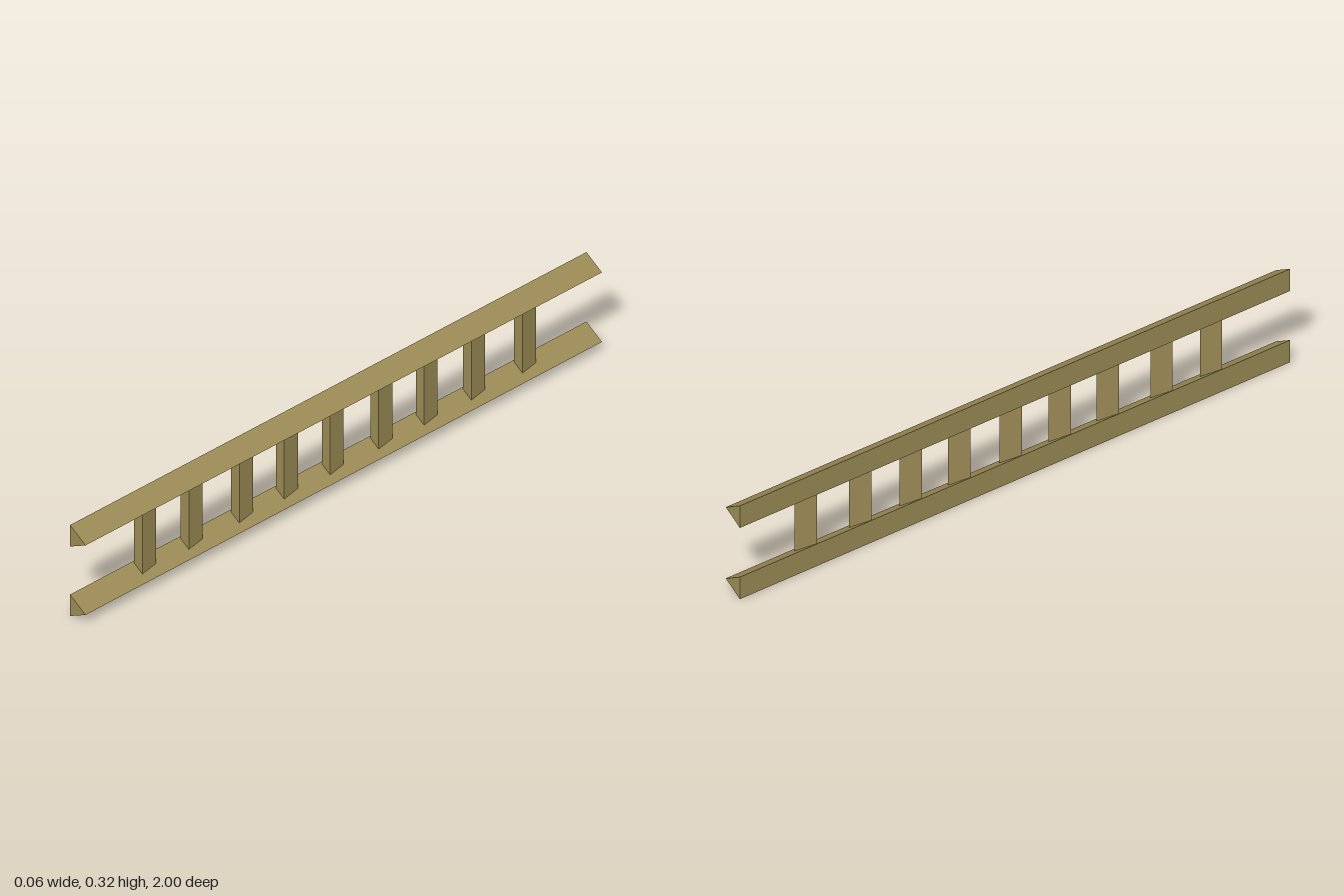
import * as THREE from 'three';

// Triangular prism: corners in the XY plane, extruded along z and centred
function prism(corners, length) {
  const shape = new THREE.Shape(corners.map(([x, y]) => new THREE.Vector2(x, y)));
  const geo = new THREE.ExtrudeGeometry(shape, { depth: length, bevelEnabled: false });
  return geo.translate(0, 0, -length / 2);
}

export function createModel() {
  const group = new THREE.Group();
  const wood = new THREE.MeshStandardMaterial({ color: 0x9a8a54, flatShading: true });
  wood.name = 'olive wood';

  // Two long rails, each with its pointed edge towards +x
  const railGeo = prism([[-0.0325, -0.0375], [0.0325, 0], [-0.0325, 0.0375]], 2);
  [['lowerRail', 0.0375], ['upperRail', 0.28]].forEach(([name, y]) => {
    const rail = new THREE.Mesh(railGeo, wood);
    rail.name = name;
    rail.position.y = y;
    group.add(rail);
  });

  // Upright three-sided rungs, ends buried in the rails
  const rungGeo = prism([[-0.027, -0.03], [0.008, -0.03], [0.0, 0.03]], 0.24);
  rungGeo.rotateX(-Math.PI / 2);
  const rungs = new THREE.Group();
  rungs.name = 'rungs';
  [0.727, 0.547, 0.352, 0.178, 0, -0.188, -0.364, -0.547, -0.745].forEach((z, i) => {
    const rung = new THREE.Mesh(rungGeo, wood);
    rung.name = `rung${i + 1}`;
    rung.position.set(0, 0.16, z);
    rungs.add(rung);
  });
  group.add(rungs);
  return group;
}
